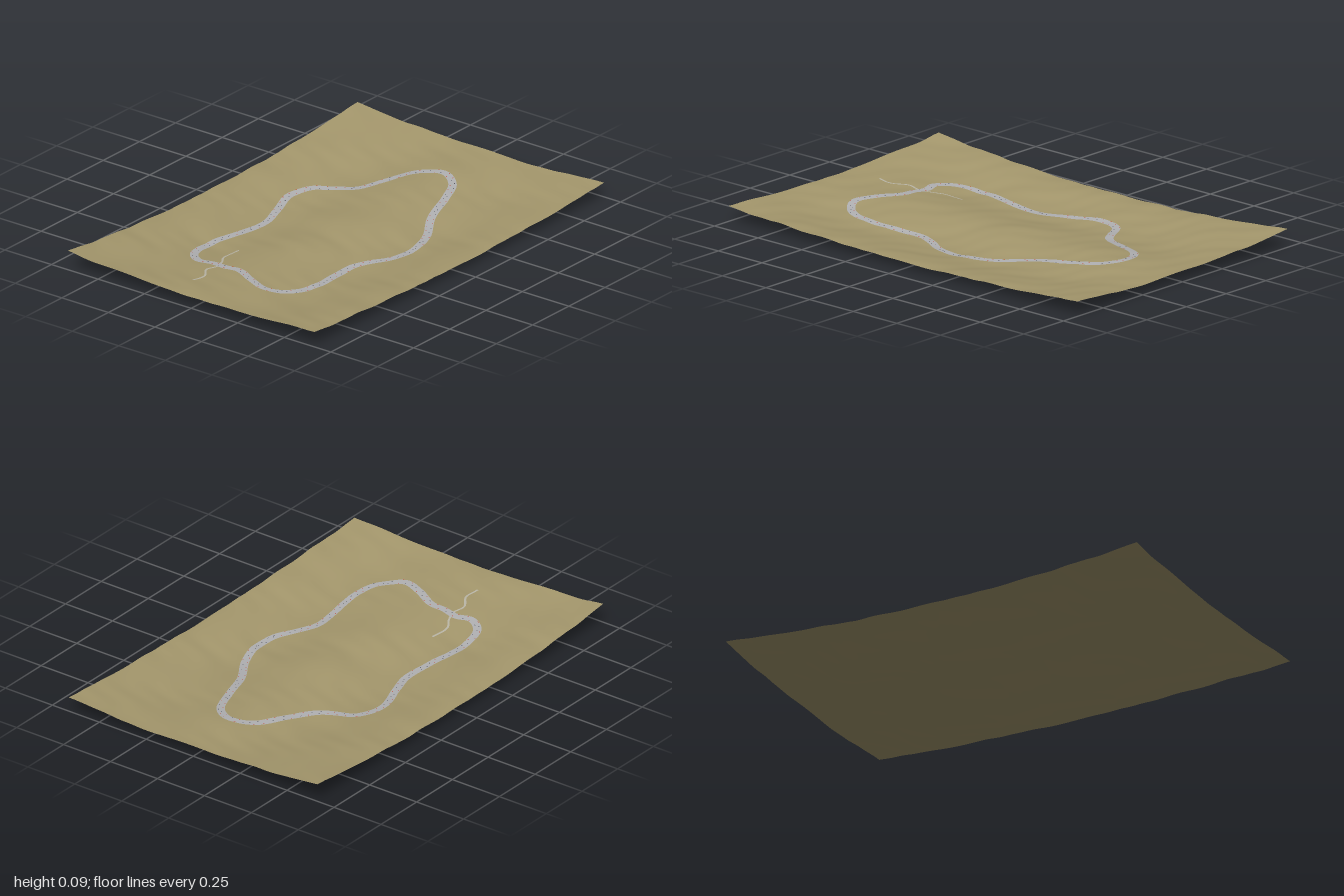
import * as THREE from 'three';

const mat = (name, color, side = THREE.DoubleSide) => {
  const m = new THREE.MeshStandardMaterial({ color, side });
  m.name = name;
  return m;
};

// Ground height: a central ridge between two hollows, rising to the short ends
function height(x, z) {
  const middle = 0.0255 + 0.0155 * Math.cos((2 * Math.PI * (z - 0.02)) / 0.64);
  const ends = 0.055 + 0.06 * z * z - 0.013 * z + (x < 0 ? 0.006 : 0);
  const t = x * x;
  // Ripples stretched along the diagonal
  const u = x + 0.8 * z, v = x - 0.8 * z;
  const ripple =
    0.0016 * Math.sin(9 * u + 2 * Math.sin(4 * v)) +
    0.0013 * Math.sin(19 * u + 1.5 * Math.sin(7 * v + 1)) +
    0.0008 * Math.sin(37 * u + 2 * Math.sin(11 * v + 2)) +
    0.0011 * Math.sin(13 * v + 1.5 * Math.sin(6 * u));
  return Math.max(0, middle * (1 - t) + ends * t + ripple);
}

function seeded(seed) {
  return () => {
    seed = (seed * 16807) % 2147483647;
    return seed / 2147483647;
  };
}

const toCurve = (points, closed) =>
  new THREE.CatmullRomCurve3(points.map(([x, z]) => new THREE.Vector3(x, 0, z)), closed);

// Point and sideways direction on a flat curve
function frame(curve, t) {
  const p = curve.getPointAt(t);
  const d = curve.getTangentAt(t);
  return { p, d, sx: -d.z, sz: d.x };
}

// Strip of given width laid over the ground between t0 and t1
function ribbon(curve, width, lift, steps, t0 = 0, t1 = 1, offset = 0, across = 4) {
  const pos = [], index = [];
  for (let i = 0; i <= steps; i++) {
    const { p, sx, sz } = frame(curve, t0 + ((t1 - t0) * i) / steps);
    for (let j = 0; j <= across; j++) {
      const s = offset + width * (j / across - 0.5);
      const x = p.x + sx * s, z = p.z + sz * s;
      pos.push(x, height(x, z) + lift, z);
      if (i < steps && j < across) {
        const a = i * (across + 1) + j, b = a + across + 1;
        index.push(a, a + 1, b, b, a + 1, b + 1);
      }
    }
  }
  // Reverse the corners so that the strip faces upward
  for (let k = 0; k < index.length; k += 3) {
    [index[k + 1], index[k + 2]] = [index[k + 2], index[k + 1]];
  }
  const g = new THREE.BufferGeometry();
  g.setAttribute('position', new THREE.Float32BufferAttribute(pos, 3));
  g.setIndex(index);
  g.computeVertexNormals();
  if (g.attributes.normal.getY(0) < 0) {
    g.setIndex(index.reverse());
    g.computeVertexNormals();
  }
  return g;
}

export function createModel() {
  const group = new THREE.Group();
  const earth = mat('dry grass', 0xa4976c);
  const asphalt = mat('grey road', 0xb0b0b2);
  const gravel = mat('pale path', 0xb9b5a6);
  const red = mat('red kerb', 0xc0503c);
  const dark = mat('dark marking', 0x50525c);

  const add = (name, geometry, material, parent = group) => {
    const m = new THREE.Mesh(geometry, material);
    m.name = name;
    parent.add(m);
    return m;
  };

  // Ground sheet
  const ground = new THREE.PlaneGeometry(2, 1.324, 180, 120).rotateX(-Math.PI / 2);
  const gp = ground.attributes.position;
  for (let i = 0; i < gp.count; i++) gp.setY(i, height(gp.getX(i), gp.getZ(i)));
  ground.computeVertexNormals();
  add('ground', ground, earth);

  // Closed road circuit
  const circuit = toCurve([
    [-0.62, -0.17], [-0.635, -0.24], [-0.58, -0.31], [-0.42, -0.335], [-0.25, -0.31],
    [-0.1, -0.3], [0.02, -0.335], [0.18, -0.385], [0.3, -0.35], [0.35, -0.27],
    [0.4, -0.2], [0.52, -0.14], [0.66, -0.07], [0.705, 0.03], [0.65, 0.12],
    [0.52, 0.18], [0.35, 0.24], [0.2, 0.33], [0.07, 0.37], [-0.06, 0.36],
    [-0.16, 0.31], [-0.24, 0.28], [-0.35, 0.285], [-0.52, 0.3], [-0.64, 0.275],
    [-0.715, 0.18], [-0.685, 0.08], [-0.63, -0.03], [-0.63, -0.1],
  ], true);
  add('road', ribbon(circuit, 0.036, 0.002, 500), asphalt);

  // Narrow path crossing the road
  const path = toCurve([
    [-0.84, -0.115], [-0.77, -0.108], [-0.7, -0.15], [-0.64, -0.14],
    [-0.58, -0.16], [-0.53, -0.19], [-0.43, -0.187],
  ], false);
  add('path', ribbon(path, 0.009, 0.0015, 80), gravel);

  // Small kerb blocks and road marks, scattered along the circuit
  const rand = seeded(71);
  const details = new THREE.Group();
  details.name = 'roadMarks';
  group.add(details);
  const count = 170;
  for (let i = 0; i < count; i++) {
    const t = (i + 0.6 * rand()) / count;
    const isRed = rand() < 0.5;
    const side = i % 2 ? 1 : -1;
    const offset = isRed ? side * (0.009 + 0.006 * rand()) : side * 0.012 * rand();
    const t1 = Math.min(1, t + 0.0015);
    add(isRed ? 'kerbBlock' : 'roadMark',
      ribbon(circuit, 0.004, 0.003, 1, t, t1, offset, 1), isRed ? red : dark, details);
  }
  return group;
}
